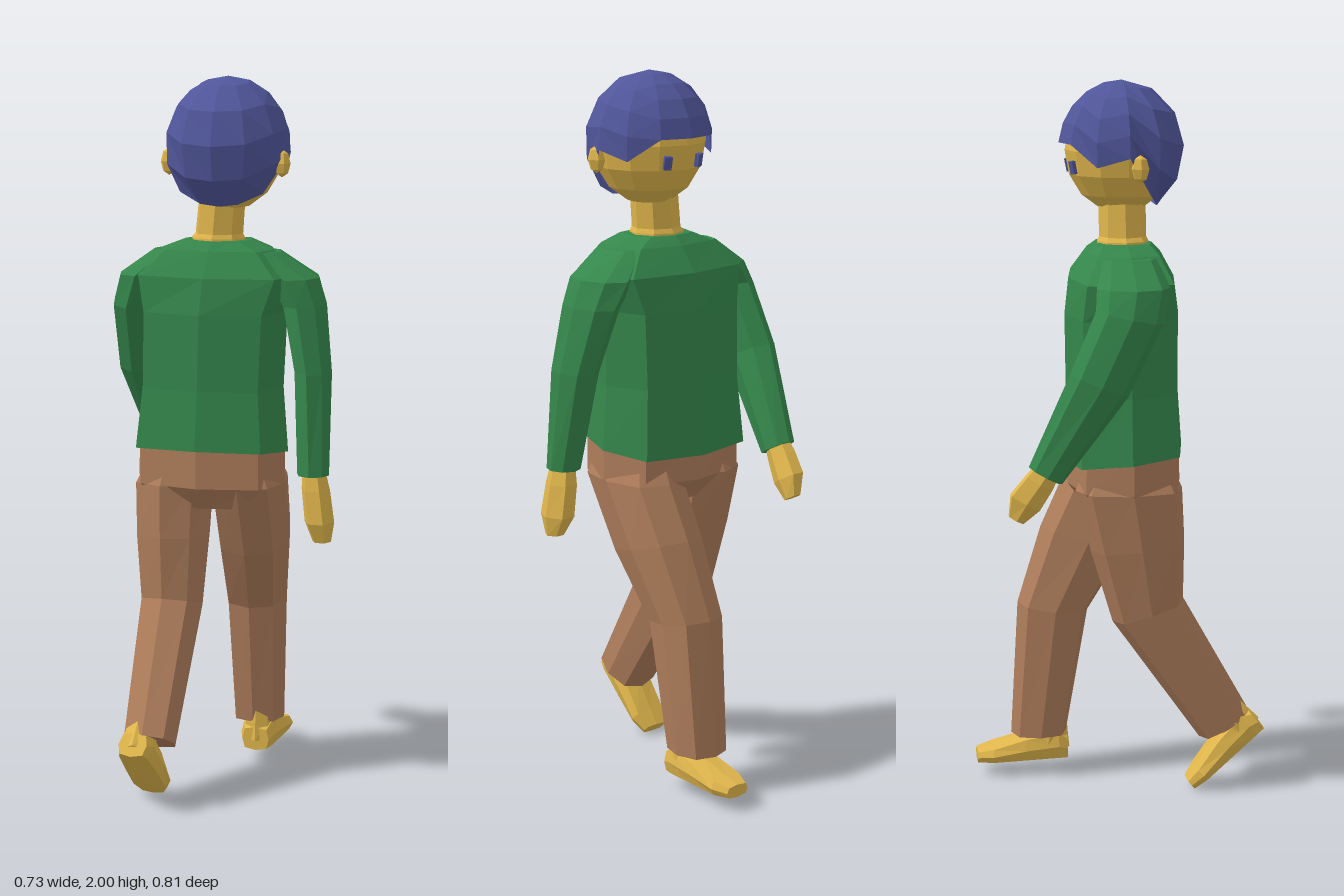
import * as THREE from 'three';

const mat = (color) => new THREE.MeshStandardMaterial({ color, flatShading: true, side: THREE.DoubleSide });

// Skin over elliptical rings listed bottom to top: [x, y, z, rx, rz, tilt about x].
// power below 1 squares the rings off.
function loft(rings, sides = 8, power = 1) {
  const pos = [], idx = [];
  const bend = (v) => Math.sign(v) * Math.pow(Math.abs(v), power);
  for (const [x, y, z, rx, rz, tilt = 0] of rings) {
    for (let j = 0; j < sides; j++) {
      const t = (j / sides) * Math.PI * 2;
      const s = rz * bend(Math.sin(t));
      pos.push(x + rx * bend(Math.cos(t)), y - s * Math.sin(tilt), z + s * Math.cos(tilt));
    }
  }
  const last = (rings.length - 1) * sides, low = rings.length * sides;
  pos.push(...rings[0].slice(0, 3), ...rings[rings.length - 1].slice(0, 3));
  for (let j = 0; j < sides; j++) {
    const n = (j + 1) % sides;
    for (let k = 0; k < last; k += sides) {
      const a = k + j, c = k + n;
      idx.push(a, a + sides, c, c, a + sides, c + sides);
    }
    idx.push(low, j, n, low + 1, last + n, last + j);
  }
  const g = new THREE.BufferGeometry();
  g.setAttribute('position', new THREE.Float32BufferAttribute(pos, 3));
  g.setIndex(idx);
  g.computeVertexNormals();
  return g;
}

// Hair cap: a sphere whose lower edge runs from fringe and side locks down to the nape
function hairGeometry() {
  const edge = [84, 84, 102, 94, 130, 143, 146]; // degrees from the crown, every 30 degrees from front to back
  const g = new THREE.SphereGeometry(1, 12, 5, 0, Math.PI * 2, 0, 2);
  const p = g.attributes.position, uv = g.attributes.uv;
  for (let i = 0; i < p.count; i++) {
    const phi = uv.getX(i) * Math.PI * 2;
    const fromFront = Math.acos(THREE.MathUtils.clamp(Math.sin(phi), -1, 1));
    const limit = THREE.MathUtils.degToRad(edge[Math.round(fromFront / (Math.PI / 6))]);
    const th = (1 - uv.getY(i)) * limit;
    p.setXYZ(i, -Math.cos(phi) * Math.sin(th) * 0.177, Math.cos(th) * 0.19, Math.sin(phi) * Math.sin(th) * 0.176);
  }
  g.computeVertexNormals();
  return g;
}

export function createModel() {
  const model = new THREE.Group();
  const skin = mat(0xe0b64c), shirt = mat(0x35874c), cloth = mat(0xae7d5b), blue = mat(0x50569a);
  const add = (name, geometry, material, parent = model) => {
    const m = new THREE.Mesh(geometry, material);
    m.name = name;
    parent.add(m);
    return m;
  };

  // Sweater body
  add('sweater', loft([
    [0.008, 0.968, 0.005, 0.222, 0.17, 0.1],
    [0.004, 1.15, 0.005, 0.204, 0.158],
    [-0.002, 1.36, 0.005, 0.208, 0.16],
    [-0.01, 1.46, 0.005, 0.24, 0.148],
    [-0.014, 1.53, 0, 0.16, 0.105],
    [-0.014, 1.555, 0, 0.095, 0.08],
  ], 8, 0.63), shirt);

  // Sleeves: left swings forward, right hangs
  add('leftSleeve', loft([
    [0.222, 0.95, 0.245, 0.045, 0.052, -0.5],
    [0.248, 1.2, 0.1, 0.058, 0.086, -0.4],
    [0.232, 1.38, 0.015, 0.062, 0.094, -0.2],
    [0.198, 1.455, 0, 0.072, 0.1],
    [0.12, 1.525, 0, 0.05, 0.075],
  ]), shirt);
  add('rightSleeve', loft([
    [-0.302, 0.92, -0.06, 0.045, 0.05],
    [-0.29, 1.2, -0.02, 0.053, 0.08],
    [-0.258, 1.38, 0.012, 0.062, 0.098],
    [-0.222, 1.455, 0.018, 0.075, 0.105],
    [-0.14, 1.525, 0.005, 0.05, 0.075],
  ]), shirt);

  // Hands
  add('leftHand', loft([
    [0.204, 0.825, 0.325, 0.024, 0.025, -0.5],
    [0.212, 0.875, 0.3, 0.038, 0.05, -0.5],
    [0.22, 0.93, 0.262, 0.036, 0.045, -0.5],
    [0.222, 0.98, 0.23, 0.03, 0.035, -0.5],
  ], 6), skin);
  add('rightHand', loft([
    [-0.33, 0.735, -0.068, 0.026, 0.028],
    [-0.322, 0.79, -0.064, 0.042, 0.055],
    [-0.31, 0.88, -0.06, 0.04, 0.05],
    [-0.302, 0.95, -0.06, 0.03, 0.035],
  ], 6), skin);

  // Trousers
  add('hips', loft([
    [0.006, 0.815, 0, 0.155, 0.11],
    [0.006, 0.88, 0, 0.213, 0.16],
    [0.006, 1.0, 0, 0.212, 0.158],
  ], 8, 0.67), cloth);
  add('rightTrouserLeg', loft([
    [-0.073, 0.125, 0.238, 0.074, 0.08],
    [-0.077, 0.5, 0.195, 0.087, 0.102, -0.15],
    [-0.096, 0.7, 0.1, 0.1, 0.13, -0.25],
    [-0.104, 0.88, 0.01, 0.103, 0.148],
    [-0.095, 0.95, 0, 0.08, 0.12],
  ], 8, 0.78), cloth);
  add('leftTrouserLeg', loft([
    [0.104, 0.185, -0.275, 0.074, 0.08, 0.5],
    [0.106, 0.53, -0.055, 0.087, 0.105, 0.3],
    [0.11, 0.72, -0.025, 0.1, 0.133, 0.1],
    [0.112, 0.88, 0, 0.105, 0.15],
    [0.1, 0.95, 0, 0.08, 0.12],
  ], 8, 0.78), cloth);

  // Feet: flat sole from heel to toe, with an ankle stub
  const sole = loft([
    [0, 0.035, -0.052, 0.04, 0.035, Math.PI / 2],
    [0, 0.045, -0.025, 0.05, 0.045, Math.PI / 2],
    [0, 0.038, 0.07, 0.056, 0.038, Math.PI / 2],
    [0, 0.024, 0.165, 0.058, 0.024, Math.PI / 2],
    [0, 0.018, 0.21, 0.038, 0.018, Math.PI / 2],
  ], 8, 0.6);
  const ankle = loft([
    [0, 0.03, 0.015, 0.05, 0.075],
    [0, 0.08, 0, 0.047, 0.055],
    [0, 0.15, 0, 0.044, 0.05],
  ]);
  for (const [name, x, y, z, pitch] of [['rightFoot', -0.082, 0.04, 0.207, 0], ['leftFoot', 0.124, 0.14, -0.347, 0.7]]) {
    const foot = new THREE.Group();
    foot.name = name;
    foot.position.set(x, y, z);
    foot.rotation.x = pitch;
    add(name + 'Sole', sole, skin, foot);
    add(name + 'Ankle', ankle, skin, foot);
    model.add(foot);
  }

  // Neck with the skin showing inside the collar
  add('neck', loft([
    [-0.014, 1.52, 0, 0.08, 0.075],
    [-0.014, 1.56, 0, 0.076, 0.072],
    [-0.016, 1.572, 0, 0.068, 0.066],
    [-0.025, 1.68, 0, 0.066, 0.066],
  ], 8), skin);

  // Head
  const head = new THREE.Group();
  head.name = 'head';
  head.position.set(-0.041, 1.81, 0);
  model.add(head);
  add('face', new THREE.SphereGeometry(1, 12, 8).scale(0.158, 0.175, 0.158), skin, head);
  add('hair', hairGeometry(), blue, head);
  for (const side of [-1, 1]) {
    const ear = add('ear', new THREE.SphereGeometry(1, 6, 4), skin, head);
    ear.scale.set(0.024, 0.038, 0.026);
    ear.position.set(side * 0.16, -0.042, -0.03);
    const eye = add('eye', new THREE.BoxGeometry(0.022, 0.036, 0.014), blue, head);
    eye.position.set(side * 0.055, -0.045, 0.14);
    eye.rotation.set(0.2, side * 0.36, 0);
  }

  // Turn the walking figure to its heading
  model.rotation.y = Math.atan2(-0.6, -0.8);
  model.position.set(0.02, 0, 0);
  const figure = new THREE.Group();
  figure.name = 'walkingFigure';
  figure.add(model);
  return figure;
}
